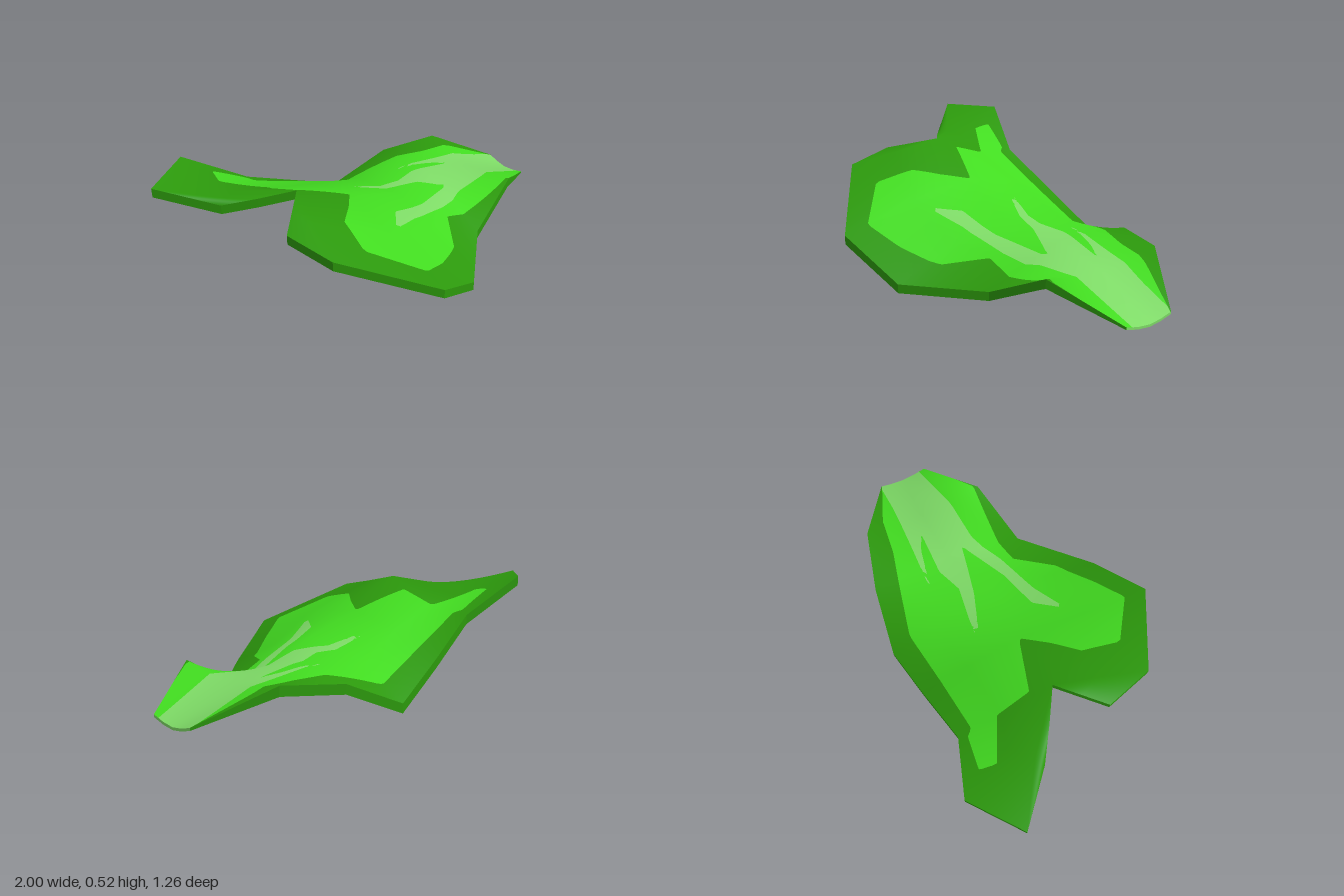
import * as THREE from 'three';

// Cross-sections of the leaf blade: [inner point on the midrib, middle, outer point on the rim]
const notch = [-0.48, 0.495, -0.05];
const rib = [[-0.18, 0.355, -0.06], [0.11, 0.257, -0.05], [0.41, 0.212, -0.18], [0.7, 0.155, -0.2], [1, 0.042, -0.2]];
const frontHalf = [
  [notch, [-0.57, 0.463, 0.05], [-0.66, 0.432, 0.15]],
  [notch, [-0.53, 0.445, 0.17], [-0.59, 0.4, 0.39]],
  [rib[0], [-0.19, 0.305, 0.27], [-0.18, 0.21, 0.63]],
  [rib[1], [0.11, 0.18, 0.21], [0.11, 0.045, 0.51]],
  [rib[2], [0.41, 0.14, 0], [0.41, 0.052, 0.21]],
  [rib[3], [0.7, 0.18, -0.04], [0.7, 0.213, 0.12]],
  [rib[4], [1, 0.05, -0.135], [1, 0.067, -0.07]],
];
const backHalf = [
  [notch, [-0.63, 0.463, -0.14], [-0.77, 0.436, -0.23]],
  [notch, [-0.73, 0.44, -0.26], [-1, 0.513, -0.43]],
  [notch, [-0.63, 0.41, -0.35], [-0.77, 0.52, -0.61]],
  [notch, [-0.48, 0.385, -0.3], [-0.48, 0.35, -0.52]],
  [rib[0], [-0.18, 0.29, -0.34], [-0.18, 0.195, -0.58]],
  [rib[1], [0.11, 0.185, -0.4], [0.11, 0.05, -0.63]],
  [rib[2], [0.41, 0.205, -0.4], [0.41, 0.182, -0.58]],
  [rib[3], [0.7, 0.18, -0.35], [0.7, 0.213, -0.5]],
  [rib[4], [1, 0.05, -0.26], [1, 0.067, -0.32]],
];

// Colour regions as outlines in plan (x, z)
const middleRegion = [
  [-0.67, -0.5], [-0.5, -0.48], [-0.47, -0.45], [-0.18, -0.48], [0.14, -0.52], [0.56, -0.42], [0.75, -0.4], [1.02, -0.31],
  [1.02, -0.07], [0.72, 0.1], [0.42, 0.1], [0.28, 0.12], [0.16, 0.31], [-0.02, 0.43], [-0.18, 0.51], [-0.4, 0.35],
  [-0.37, 0.16], [-0.27, 0.05], [-0.18, -0.07], [-0.45, -0.15], [-0.47, -0.32], [-0.68, -0.42],
];
const veinRegion = [
  [1.1, -0.33], [0.82, -0.32], [0.56, -0.325], [0.26, -0.335], [0.5, -0.29], [0.6, -0.25], [0.35, -0.255], [0.22, -0.205],
  [-0.04, -0.24], [-0.02, -0.21], [0.16, -0.15], [0.45, -0.09], [0.19, 0.03], [-0.02, 0.08], [-0.12, 0.215], [0.06, 0.13],
  [0.3, 0.06], [0.48, -0.02], [0.67, -0.04], [1.1, -0.12],
];

// Smooth normals of the section points, keyed by position
function sectionNormals() {
  const normals = new Map();
  const face = (...points) => {
    const [a, b, c] = points.map((p) => new THREE.Vector3(...p));
    const n = b.sub(a).cross(c.sub(a));
    if (n.y < 0) n.negate();
    for (const p of points) {
      const key = p.join();
      if (!normals.has(key)) normals.set(key, new THREE.Vector3());
      normals.get(key).add(n);
    }
  };
  for (const half of [frontHalf, backHalf]) {
    for (let s = 0; s + 1 < half.length; s++) {
      for (let k = 0; k < 2; k++) {
        face(half[s][k], half[s + 1][k], half[s + 1][k + 1]);
        face(half[s][k], half[s + 1][k + 1], half[s][k + 1]);
      }
    }
  }
  normals.forEach((n) => n.normalize());
  return normals;
}

// Signed distance in plan, positive inside the outline
function inside(p, outline) {
  let best = Infinity, within = false;
  outline.forEach(([ax, az], i) => {
    const [bx, bz] = outline[(i + 1) % outline.length];
    const dx = bx - ax, dz = bz - az;
    const t = THREE.MathUtils.clamp(((p[0] - ax) * dx + (p[2] - az) * dz) / (dx * dx + dz * dz), 0, 1);
    best = Math.min(best, Math.hypot(p[0] - ax - t * dx, p[2] - az - t * dz));
    if ((az > p[2]) !== (bz > p[2]) && p[0] < ax + (dx * (p[2] - az)) / dz) within = !within;
  });
  return within ? best : -best;
}

const mix = (a, b, t) => a.map((v, i) => v + (b[i] - v) * t);

// Cut a convex polygon along an outline; returns [inner part, outer part]
function cut(poly, outline) {
  const parts = [[], []];
  const d = poly.map((p) => inside(p, outline));
  poly.forEach((p, i) => {
    const j = (i + 1) % poly.length;
    parts[d[i] >= 0 ? 0 : 1].push(p);
    if ((d[i] >= 0) !== (d[j] >= 0)) {
      const q = mix(p, poly[j], d[i] / (d[i] - d[j]));
      parts[0].push(q);
      parts[1].push(q);
    }
  });
  return parts;
}

const thickness = (x) => (x < 0.7 ? 0.045 : 0.045 - (x - 0.7) * 0.11);
const lower = ([x, y, z]) => [x, y - thickness(x), z];

// Triangles of the top surface in three colour lists [rim, middle, vein]; each point is position + normal
function bladeTriangles() {
  const lists = [[], [], []];
  const CELLS = 14;
  const normals = sectionNormals();
  const add = (list, poly) => {
    for (let i = 1; i + 1 < poly.length; i++) {
      const [a, b, c] = [poly[0], poly[i], poly[i + 1]];
      const up = (b[2] - a[2]) * (c[0] - a[0]) - (b[0] - a[0]) * (c[2] - a[2]);
      if (Math.abs(up) > 1e-9) list.push(up > 0 ? [a, b, c] : [a, c, b]);
    }
  };
  for (const half of [frontHalf, backHalf]) {
    const sections = half.map((s) => s.map((p) => [...p, ...normals.get(p.join())]));
    for (let s = 0; s + 1 < sections.length; s++) {
      for (let k = 0; k < 2; k++) {
        const [p, q] = [sections[s], sections[s + 1]];
        const point = (u, v) => mix(mix(p[k], p[k + 1], v / CELLS), mix(q[k], q[k + 1], v / CELLS), u / CELLS);
        for (let u = 0; u < CELLS; u++) {
          for (let v = 0; v < CELLS; v++) {
            const [a, b, c, d] = [point(u, v), point(u + 1, v), point(u + 1, v + 1), point(u, v + 1)];
            for (const tri of [[a, b, c], [a, c, d]]) {
              const [inner, rim] = cut(tri, middleRegion);
              add(lists[0], rim);
              if (inner.length < 3) continue;
              const [vein, middle] = cut(inner, veinRegion);
              add(lists[1], middle);
              add(lists[2], vein);
            }
          }
        }
      }
    }
  }
  return lists;
}

// One smooth geometry with a material group per colour list
function surface(lists) {
  const geometry = new THREE.BufferGeometry();
  const points = lists.flat(2);
  geometry.setAttribute('position', new THREE.Float32BufferAttribute(points.flatMap((p) => p.slice(0, 3)), 3));
  geometry.setAttribute('normal', new THREE.Float32BufferAttribute(points.flatMap((p) => p.slice(3)), 3));
  let start = 0;
  lists.forEach((list, i) => {
    geometry.addGroup(start, list.length * 3, i);
    start += list.length * 3;
  });
  geometry.normalizeNormals();
  return geometry;
}

// Vertical wall below a path of top points
function wall(path) {
  const tris = [];
  for (let i = 0; i + 1 < path.length; i++) {
    const [a, b] = [path[i], path[i + 1]];
    tris.push([lower(a), lower(b), b], [lower(a), b, a]);
  }
  const geometry = new THREE.BufferGeometry();
  geometry.setAttribute('position', new THREE.Float32BufferAttribute(tris.flat(2), 3));
  geometry.computeVertexNormals();
  return geometry;
}

export function createModel() {
  const model = new THREE.Group();
  model.name = 'leaf';
  const material = (name, color) => {
    const m = new THREE.MeshStandardMaterial({ color });
    m.name = name;
    return m;
  };
  const rim = material('dark green', 0x2c990c);
  const middle = material('bright green', 0x42dd20);
  const vein = material('pale green', 0x7edb66);
  const add = (name, geometry, mat) => {
    const mesh = new THREE.Mesh(geometry, mat);
    mesh.name = name;
    model.add(mesh);
  };

  // Upper and lower faces of the blade
  const top = bladeTriangles();
  const under = (p) => [...lower(p), -p[3], -p[4], -p[5]];
  const bottom = top.map((list) => list.map(([a, b, c]) => [under(a), under(c), under(b)]));
  add('upperFace', surface(top), [rim, middle, vein]);
  add('lowerFace', surface(bottom), [rim, middle, vein]);

  // Edge of the blade, following the rim and the two sides of the notch
  const frontRim = frontHalf.map((s) => s[2]);
  const backRim = backHalf.map((s) => s[2]).reverse();
  add('rimEdge', wall([...backRim, backHalf[0][1], notch, frontHalf[0][1], ...frontRim]), rim);

  // Narrow end of the tip
  const tipFront = [...frontHalf.at(-1)].reverse();
  add('tipEdge', wall([...tipFront, ...backHalf.at(-1).slice(1)]), vein);
  return model;
}
